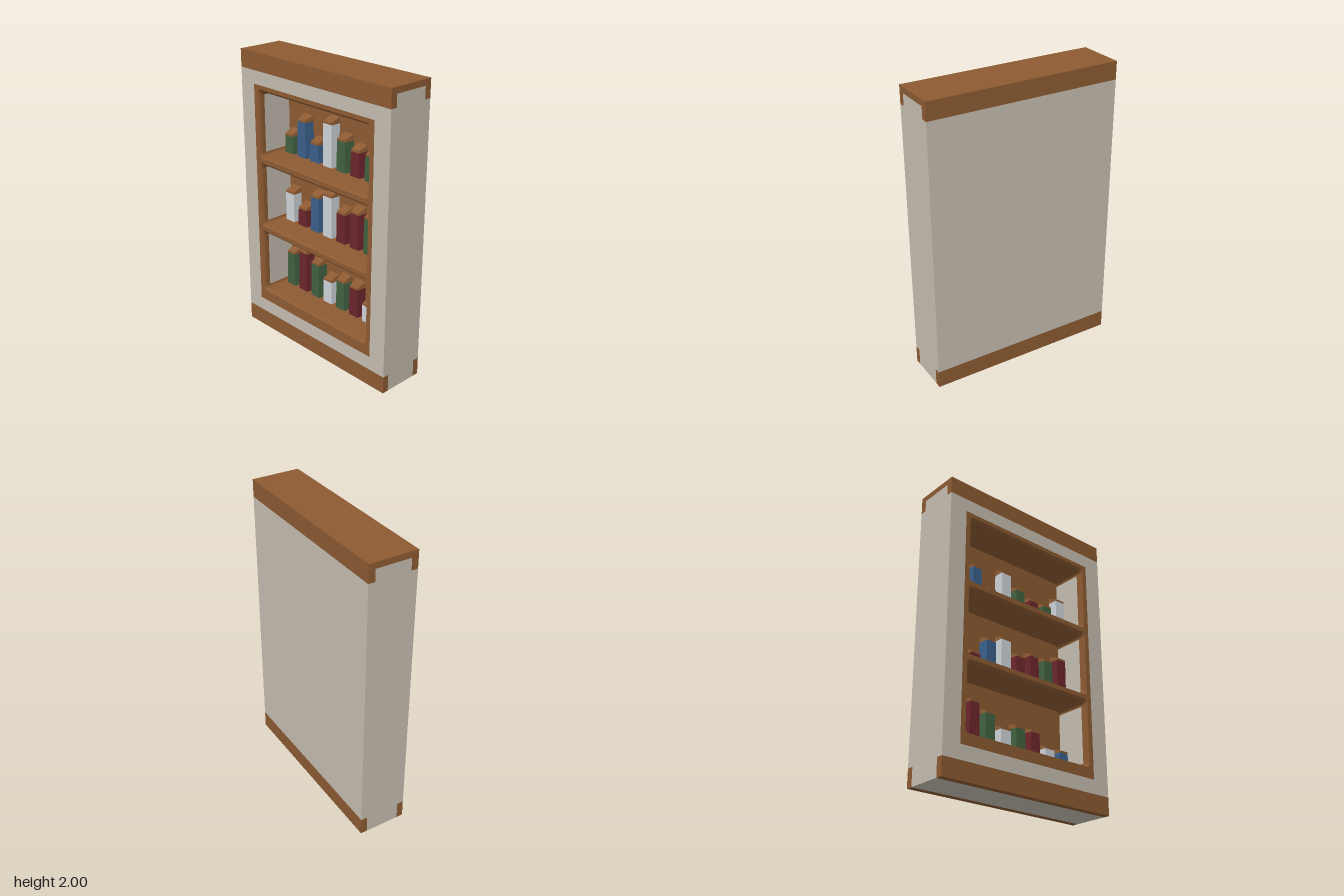
import * as THREE from 'three';

const mat = (name, color, side = THREE.FrontSide) => {
  const m = new THREE.MeshStandardMaterial({ color, side });
  m.name = name;
  return m;
};

export function createModel() {
  const root = new THREE.Group();
  root.name = 'bookcase';
  const wood = mat('wood', 0x8c5a32);
  const stone = mat('pale plaster', 0xc4bcb0);
  const covers = {
    g: mat('green cover', 0x40603f),
    b: mat('blue cover', 0x3a5f8a),
    r: mat('red cover', 0x6b252b),
    w: mat('white cover', 0xcdd3d9),
  };

  const add = (name, geo, material, x = 0, y = 0, z = 0, parent = root) => {
    const mesh = new THREE.Mesh(geo, material);
    mesh.name = name;
    mesh.position.set(x, y, z);
    parent.add(mesh);
    return mesh;
  };
  const rect = (hw, y0, y1) => [
    new THREE.Vector2(-hw, y0), new THREE.Vector2(hw, y0),
    new THREE.Vector2(hw, y1), new THREE.Vector2(-hw, y1),
  ];
  // rounded rectangle, counterclockwise
  const roundRect = (hw, y0, y1, r) => {
    const pts = [];
    [[hw - r, y0 + r, -1], [hw - r, y1 - r, 0], [-hw + r, y1 - r, 1], [-hw + r, y0 + r, 2]]
      .forEach(([cx, cy, q]) => {
        for (let i = 0; i <= 3; i++) {
          const a = (q + i / 3) * Math.PI / 2;
          pts.push(new THREE.Vector2(cx + r * Math.cos(a), cy + r * Math.sin(a)));
        }
      });
    return pts;
  };
  const shapeWith = (outer, holes) => {
    const s = new THREE.Shape(outer);
    holes.forEach(h => s.holes.push(new THREE.Path(h)));
    return s;
  };

  const W = 0.665, D = 0.165, IN = 0.12, BACK = -0.09;

  // pale carcass: core, front surround and back panel
  const hole = rect(0.54, 0.215, 1.79);
  const extrude = (outer, depth) =>
    new THREE.ExtrudeGeometry(shapeWith(outer, [hole]), { depth, bevelEnabled: false });
  add('carcass', extrude(rect(W, 0, 1.96), 2 * IN), stone, 0, 0, -IN);
  add('frontSurround', extrude(rect(W, 0.12, 1.88), D - IN), stone, 0, 0, IN);
  add('backPanel', new THREE.BoxGeometry(2 * W, 1.76, D - IN), stone, 0, 1, -(D + IN) / 2);

  // wooden top and the bands along front and back
  add('topBoard', new THREE.BoxGeometry(2 * W, 0.04, 2 * D), wood, 0, 1.98, 0);
  for (const s of [1, -1]) {
    add('upperBand', new THREE.BoxGeometry(2 * W, 0.08, D - IN), wood, 0, 1.92, s * (D + IN) / 2);
    add('lowerBand', new THREE.BoxGeometry(2 * W, 0.12, D - IN), wood, 0, 0.06, s * (D + IN) / 2);
  }

  // wooden face frame with three rounded openings
  const bays = [[0.29, 0.76], [0.79, 1.257], [1.29, 1.762]];
  const ring = ([y0, y1], inset) => roundRect(0.505 - inset, y0 + inset * 0.7, y1 - inset * 1.5, 0.025);
  add('faceFrame', new THREE.ShapeGeometry(shapeWith(hole, bays.map(b => ring(b, 0)))), wood, 0, 0, D);
  add('backWall', new THREE.BoxGeometry(1.08, 1.575, 0.03), wood, 0, 1.0025, BACK - 0.015);

  // lining of each opening: wooden lip, floor and ceiling, pale side walls
  const levels = [[D, 0], [0.15, 0.01], [IN, 0.012], [BACK, 0.014]];
  bays.forEach(bay => {
    const woodPos = [], sidePos = [];
    for (let k = 0; k < levels.length - 1; k++) {
      const [za, ia] = levels[k], [zb, ib] = levels[k + 1];
      const A = ring(bay, ia), B = ring(bay, ib);
      A.forEach((a, i) => {
        const j = (i + 1) % A.length;
        const isSide = k === 2 && Math.abs(a.x - A[j].x) < 0.001;
        const p = [[a, za], [A[j], za], [B[i], zb], [B[j], zb]];
        for (const n of [0, 1, 2, 1, 3, 2]) {
          (isSide ? sidePos : woodPos).push(p[n][0].x, p[n][0].y, p[n][1]);
        }
      });
    }
    [['shelfLining', woodPos, wood], ['shelfSides', sidePos, stone]].forEach(([name, pos, m]) => {
      const g = new THREE.BufferGeometry();
      g.setAttribute('position', new THREE.Float32BufferAttribute(pos, 3));
      g.computeVertexNormals();
      add(name, g, m);
    });
  });

  // box whose corners are moved by a rule
  const shaped = (w, h, d, rule) => {
    const g = new THREE.BoxGeometry(w, h, d);
    const p = g.attributes.position, v = new THREE.Vector3();
    for (let i = 0; i < p.count; i++) {
      rule(v.fromBufferAttribute(p, i));
      p.setXYZ(i, v.x, v.y, v.z);
    }
    g.computeVertexNormals();
    return g;
  };

  // books: slightly tapered body with a sloping wooden-toned cap
  const addBook = (key, i, base, top) => {
    const book = new THREE.Group();
    book.name = 'book';
    book.position.set(-0.42 + 0.125 * i, base, -0.06);
    root.add(book);
    const h = top - base, w = key === 'w' ? 0.084 : 0.104;
    const front = key === 'w' ? 0.97 : 0.78, upper = key === 'w' ? 1 : 0.88;
    add('bookBody', shaped(w, h, 0.08, v => {
      v.x *= (v.z > 0 ? front : 1) * (v.y > 0 ? upper : 1);
    }), covers[key], 0, h / 2, 0, book);
    add('bookCap', shaped(w * upper, 0.044, 0.08, v => {
      v.x *= (v.z > 0 ? front : 1) * (v.y > 0 ? 0.92 : 1);
      if (v.y > 0 && v.z > 0) v.y -= 0.03;
    }), wood, 0, h + 0.022, 0, book);
  };
  const rows = [
    [0.295, 'grgwgrwb', [0.545, 0.59, 0.545, 0.465, 0.505, 0.505, 0.42, 0.42]],
    [0.795, 'wrbwrrgr', [1.005, 0.92, 1.045, 1.09, 1.005, 1.045, 1.045, 1.09]],
    [1.295, 'gbbwgrgw', [1.42, 1.545, 1.42, 1.59, 1.505, 1.465, 1.465, 1.55]],
  ];
  rows.forEach(([base, keys, tops]) => tops.forEach((t, i) => addBook(keys[i], i, base, t)));

  return root;
}
